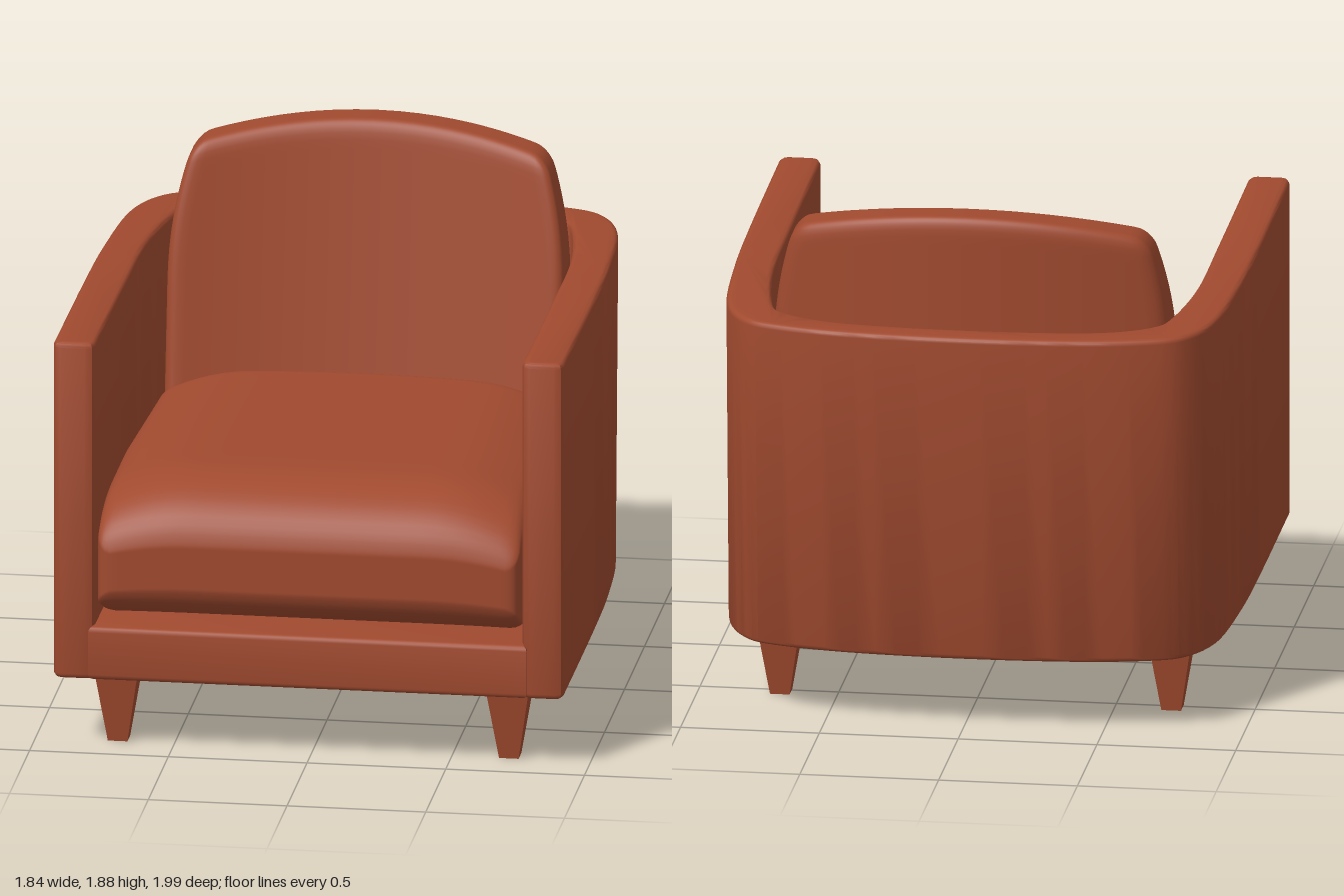
import * as THREE from 'three';
import { mergeVertices, toCreasedNormals } from 'three/addons/utils/BufferGeometryUtils.js';

const { clamp } = THREE.MathUtils;
const upholstery = new THREE.MeshStandardMaterial({ color: 0xa04a2f });
upholstery.name = 'rust upholstery';

const BOTTOM = 0.27, TOP = 1.53;

// Moves every vertex by a rule.
function warp(geometry, rule) {
  const pos = geometry.attributes.position, p = new THREE.Vector3();
  for (let i = 0; i < pos.count; i++) {
    p.fromBufferAttribute(pos, i);
    rule(p);
    pos.setXYZ(i, p.x, p.y, p.z);
  }
  return geometry;
}

// Left half of a plan line from the arm to the middle of the back, mirrored to a full U.
function planLine(half) {
  const mirrored = half.slice(0, -1).reverse().map(([x, z]) => [-x, z]);
  return new THREE.SplineCurve([...half, ...mirrored].map(([x, z]) => new THREE.Vector2(x, -z))).getPoints(72);
}
const outer = planLine([[0.92, 0.95], [0.92, 0.2], [0.912, -0.25], [0.882, -0.66], [0.8, -0.86], [0.66, -0.935], [0.39, -0.983], [0, -1]]);
const inner = planLine([[0.77, 0.95], [0.768, 0.2], [0.762, -0.3], [0.715, -0.66], [0.655, -0.775], [0.5, -0.85], [0.28, -0.88], [0, -0.89]]);

// Extrudes a plan outline upward, leans its back outward and slopes its top down to the rear.
function planSolid(points, bottom, top) {
  const bevel = 0.02;
  const geometry = new THREE.ExtrudeGeometry(new THREE.Shape(points), {
    depth: top - bottom - 2 * bevel, bevelThickness: bevel, bevelSize: bevel, bevelOffset: -bevel, bevelSegments: 4,
  });
  geometry.rotateX(-Math.PI / 2).translate(0, bottom + bevel, 0);
  warp(geometry, (p) => {
    const t = (p.y - BOTTOM) / (TOP - BOTTOM);
    p.y -= 0.035 * t * (0.98 - p.z) / 1.98;
    p.z += 0.08 * (1 - t) * clamp(-p.z / 0.8, 0, 1);
  });
  return toCreasedNormals(geometry, 0.6);
}

// Soft block with rounded edges, gridded densely near the edges, then warped.
function pillow(w, h, d, r, rule) {
  const geometry = new THREE.BoxGeometry(2, 2, 2, 32, 32, 32);
  geometry.deleteAttribute('uv');
  geometry.deleteAttribute('normal');
  const ease = (u) => Math.sign(u) * (1 - (1 - Math.abs(u)) ** 2);
  const core = new THREE.Vector3(w / 2 - r, h / 2 - r, d / 2 - r), q = new THREE.Vector3();
  warp(geometry, (p) => {
    p.set(ease(p.x) * w / 2, ease(p.y) * h / 2, ease(p.z) * d / 2);
    q.copy(p).clamp(core.clone().negate(), core);
    p.sub(q).setLength(r).add(q);
    rule(p);
  });
  const smooth = mergeVertices(geometry, 1e-5);
  smooth.computeVertexNormals();
  return smooth;
}

export function createModel() {
  const chair = new THREE.Group();
  chair.name = 'armchair';
  const add = (name, geometry) => {
    const mesh = new THREE.Mesh(geometry, upholstery);
    mesh.name = name;
    chair.add(mesh);
    return mesh;
  };

  // Arms and back in one wrapped wall, with rounded arm fronts
  const v = (x, z) => new THREE.Vector2(x, -z);
  add('armAndBackShell', planSolid([
    ...outer, v(-0.911, 0.975), v(-0.89, 0.984), v(-0.8, 0.984), v(-0.779, 0.975),
    ...inner.slice().reverse(), v(0.779, 0.975), v(0.8, 0.984), v(0.89, 0.984), v(0.911, 0.975),
  ], BOTTOM, TOP));

  // Seat base and front rail
  add('seatBase', planSolid([
    v(0.79, 0.993), ...outer.map((p) => new THREE.Vector2(p.x * 0.86, p.y * 0.95)), v(-0.79, 0.993),
  ], BOTTOM + 0.002, 0.47));

  // Seat cushion: rolled front, sloping sides, back edge bowed to meet the back cushion
  add('seatCushion', pillow(1.52, 0.54, 1.456, 0.05, (p) => {
    p.y += 0.735;
    p.z += 0.267;
    const t = clamp((p.z - 0.62) / 0.39, 0, 1);
    p.y = 0.69 + (p.y - 0.69) * (1 - t ** 2.4) ** (1 / 2.4);
    const side = clamp((Math.abs(p.x) - 0.42) / 0.34, 0, 1);
    p.y -= 0.08 * side * side * clamp((p.y - 0.47) / 0.53, 0, 1);
    const rear = clamp((0.3 - p.z) / 0.7, 0, 1);
    p.x *= 1 - 0.04 * rear;
    p.z += 0.09 * rear * (p.x / 0.72) ** 2;
  }));

  // Back cushion: arched top, tapered shoulders, bowed in plan, thinner toward the top
  add('backCushion', pillow(1.43, 1.4, 0.3, 0.06, (p) => {
    p.y += 1.18;
    const shoulder = clamp((p.y - 1.35) / 0.53, 0, 1);
    p.x *= 1 - 0.11 * shoulder ** 2.2;
    p.y -= 0.075 * (p.x / 0.6) ** 2 * clamp((p.y - 0.9) / 0.95, 0, 1);
    const front = -0.48 - 0.16 * (p.y - 1) / 0.85, back = -0.8;
    p.z = back + (front - back) * (p.z / 0.3 + 0.5) + 0.1 * (p.x / 0.65) ** 2;
  }));

  // Four tapered square legs
  for (const [place, z] of [['front', 0.81], ['rear', -0.52]]) {
    for (const [side, x] of [['Left', 0.705], ['Right', -0.705]]) {
      const leg = new THREE.CylinderGeometry(0.115, 0.05, 0.29, 4).rotateY(Math.PI / 4);
      add(`${place}${side}Leg`, toCreasedNormals(leg, 0.6)).position.set(x, 0.145, z);
    }
  }
  return chair;
}
